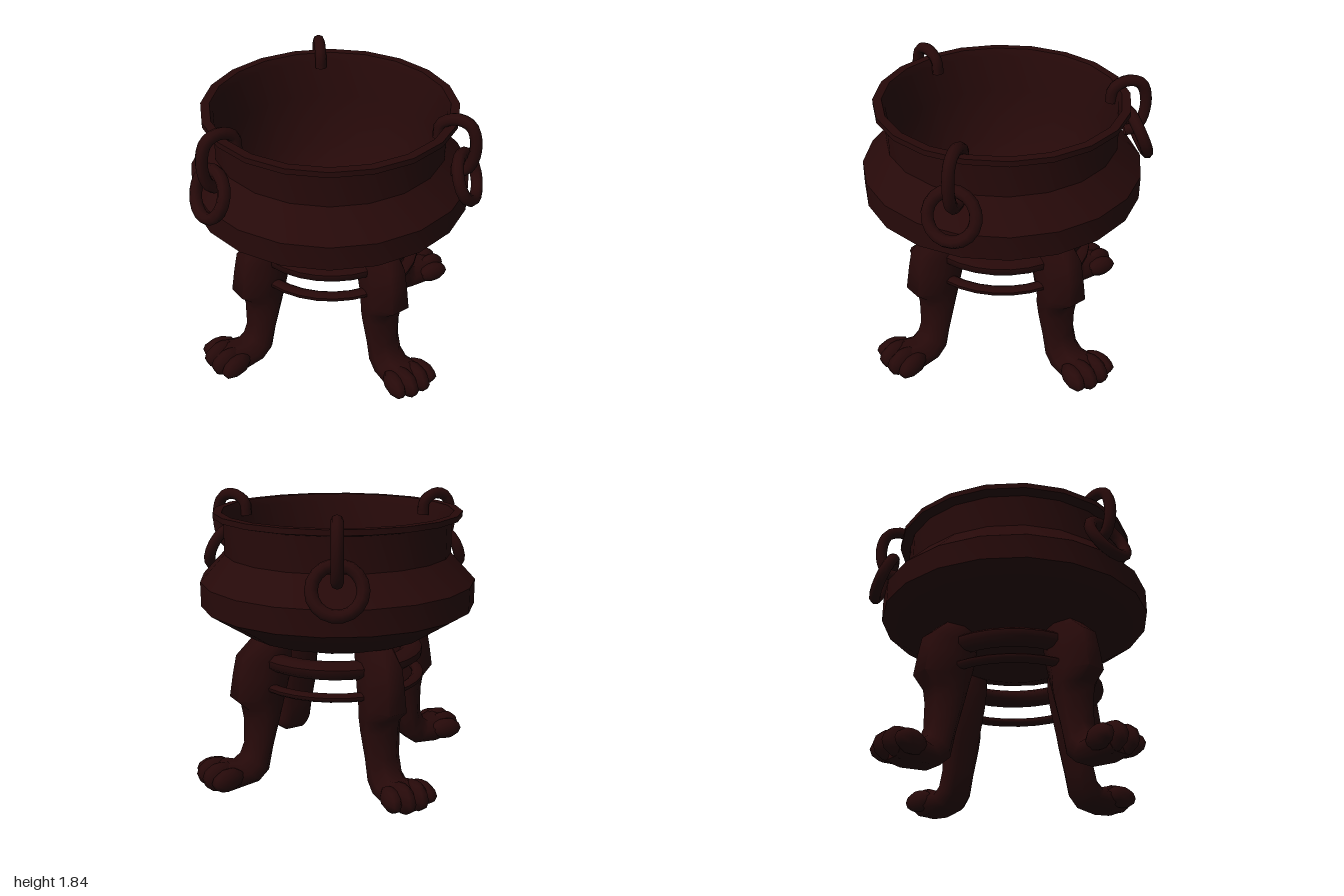
import * as THREE from 'three';
import { toCreasedNormals } from 'three/addons/utils/BufferGeometryUtils.js';

const iron = new THREE.MeshStandardMaterial({ color: 0x260909 });
const ironThin = new THREE.MeshStandardMaterial({ color: 0x260909, side: THREE.DoubleSide });

function part(name, geometry, material = iron) {
  const mesh = new THREE.Mesh(geometry, material);
  mesh.name = name;
  return mesh;
}

// Bowl: bellied outside from the bottom up, over the rim, then down the tapering inside
function bowl() {
  const profile = [
    [0, 0.87], [0.36, 0.885], [0.62, 0.97], [0.895, 1.15], [0.895, 1.31], [0.735, 1.48],
    [0.735, 1.70], [0.80, 1.715], [0.80, 1.75], [0.745, 1.75], [0.725, 1.70], [0.70, 1.45],
    [0.61, 1.12], [0.50, 0.99], [0.32, 0.915], [0, 0.89],
  ].map(([r, y]) => new THREE.Vector2(r, y));
  const mesh = part('bowl', toCreasedNormals(new THREE.LatheGeometry(profile, 20), 0.7));
  mesh.position.z = 0.01;
  return mesh;
}

// Leg lofted from sections: [outer z, outer y, inner z, inner y, half width]
function legGeometry() {
  const sections = [
    [0.48, 0.93, 0.48, 0.93, 0],
    [0.59, 0.968, 0.37, 0.893, 0.115],
    [0.705, 0.86, 0.375, 0.80, 0.125],
    [0.73, 0.74, 0.395, 0.70, 0.13],
    [0.755, 0.59, 0.43, 0.58, 0.135],
    [0.68, 0.52, 0.45, 0.50, 0.13],
    [0.665, 0.43, 0.47, 0.42, 0.125],
    [0.67, 0.26, 0.515, 0.24, 0.11],
    [0.70, 0.19, 0.55, 0.08, 0.11],
    [0.745, 0.155, 0.625, 0.015, 0.115],
    [0.84, 0.185, 0.80, 0, 0.13],
    [0.92, 0.15, 0.92, 0.01, 0.10],
    [0.93, 0.09, 0.93, 0.09, 0],
  ];
  // Cross-section with a narrow ridge on the outer side: [sideways, outward]
  const outline = [[0.46, 1], [1, 0.25], [1, -0.5], [0.6, -1], [-0.6, -1], [-1, -0.5], [-1, 0.25], [-0.46, 1]];
  const n = outline.length, positions = [], index = [];
  sections.forEach(([oz, oy, iz, iy, w], i) => {
    outline.forEach(([s, t], k) => {
      positions.push(s * w, (oy + iy) / 2 + t * (oy - iy) / 2, (oz + iz) / 2 + t * (oz - iz) / 2);
      if (i === sections.length - 1) return;
      const a = i * n + k, b = i * n + (k + 1) % n;
      index.push(a, a + n, b, b, a + n, b + n);
    });
  });
  const geometry = new THREE.BufferGeometry();
  geometry.setAttribute('position', new THREE.Float32BufferAttribute(positions, 3));
  geometry.setIndex(index);
  return toCreasedNormals(geometry, 1.25);
}

// Leg with four blunt toes
function leg(geometry, toeGeometry) {
  const group = new THREE.Group();
  group.name = 'leg';
  group.add(part('legBody', geometry));
  for (const side of [-1, 1]) {
    const inner = part('innerToe', toeGeometry);
    inner.scale.set(0.06, 0.097, 0.125);
    inner.position.set(side * 0.046, 0.1, 0.885);
    const outer = part('outerToe', toeGeometry);
    outer.scale.set(0.06, 0.075, 0.12);
    outer.position.set(side * 0.113, 0.095, 0.86);
    outer.rotation.y = side * 0.2;
    group.add(inner, outer);
  }
  return group;
}

// Hook over the rim with a loose ring hanging from it
function handle(hookGeometry, ringGeometry) {
  const group = new THREE.Group();
  group.name = 'handle';
  const ring = part('handleRing', ringGeometry);
  ring.position.set(0, 1.425, 0.89);
  ring.rotation.x = -0.4;
  group.add(part('handleHook', hookGeometry, ironThin), ring);
  return group;
}

// Flattened hoop with an eight-sided oval section
function hoop(name, radius, halfWidth, halfHeight, y) {
  const profile = [];
  for (let i = 0; i <= 8; i++) {
    const a = (i + 0.5) * Math.PI / 4;
    profile.push(new THREE.Vector2(radius + halfWidth * Math.cos(a), halfHeight * Math.sin(a)));
  }
  const mesh = part(name, new THREE.LatheGeometry(profile, 32));
  mesh.position.y = y;
  return mesh;
}

export function createModel() {
  const model = new THREE.Group();
  model.name = 'cauldron';
  model.add(bowl());

  // Four paw-footed legs
  const legShape = legGeometry();
  const toe = new THREE.SphereGeometry(1, 8, 6).rotateY(Math.PI / 8);
  for (let i = 0; i < 4; i++) {
    const l = leg(legShape, toe);
    l.rotation.y = i * Math.PI / 2;
    model.add(l);
  }

  // Bracing hoops between the legs
  model.add(hoop('upperHoop', 0.505, 0.075, 0.057, 0.823), hoop('lowerHoop', 0.55, 0.04, 0.027, 0.66));

  // Three handles around the rim
  const path = new THREE.CatmullRomCurve3([
    [0.69, 1.66], [0.70, 1.75], [0.79, 1.80], [0.88, 1.775],
    [0.92, 1.68], [0.91, 1.54], [0.865, 1.465], [0.79, 1.45],
  ].map(([z, y]) => new THREE.Vector3(0, y, z)));
  const hook = new THREE.TubeGeometry(path, 20, 0.038, 8);
  const ring = new THREE.TorusGeometry(0.147, 0.039, 8, 18);
  for (const angle of [0.01, 2.13, -2.09]) {
    const h = handle(hook, ring);
    h.rotation.y = angle;
    model.add(h);
  }
  return model;
}
